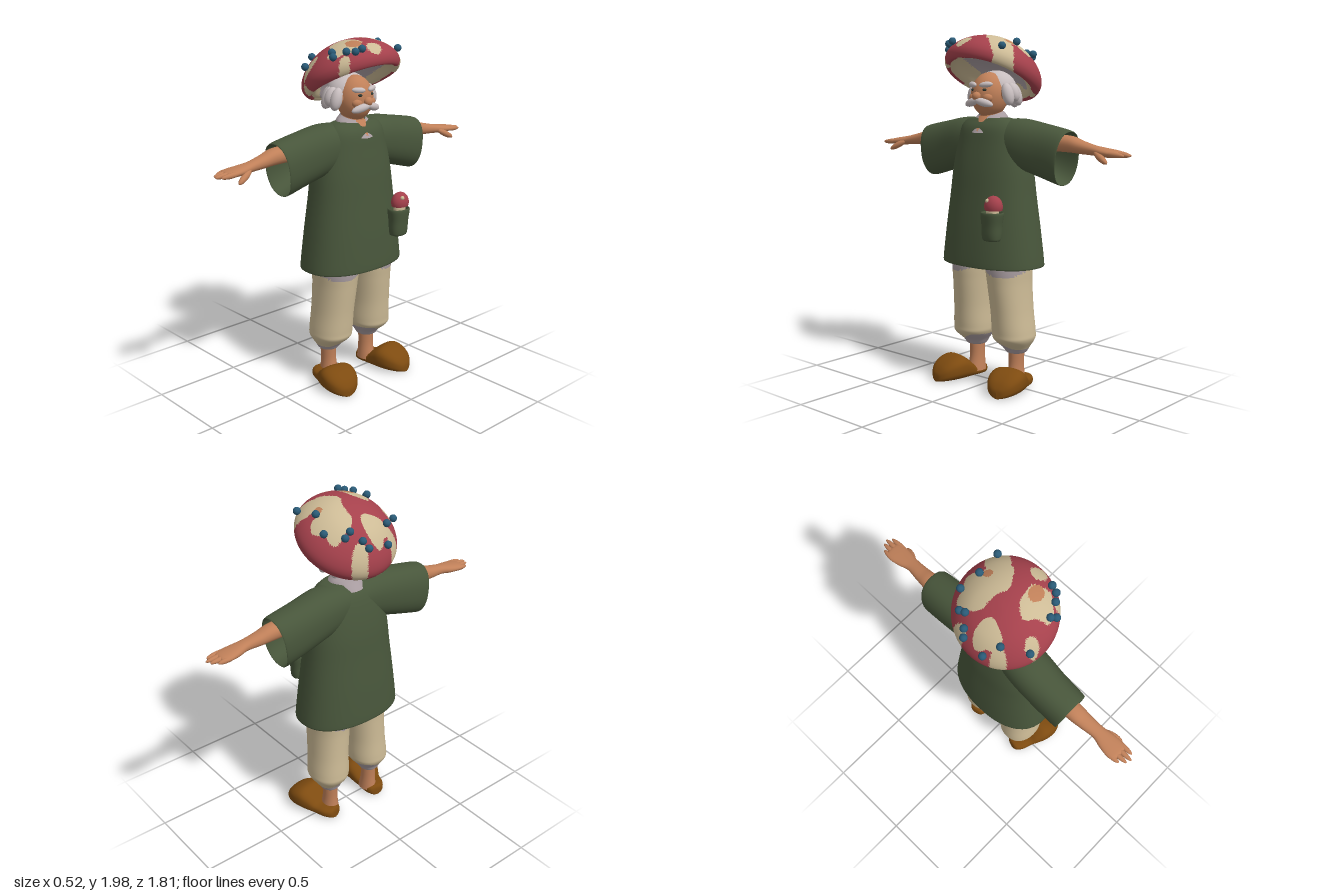
import * as THREE from 'three';

const mat = (name, color, side = THREE.FrontSide) => {
  const m = new THREE.MeshStandardMaterial({ color, side });
  m.name = name;
  return m;
};

// Smooth skin over rings [position, centreX, radiusX, centre2, radius2, tilt] along the y or z axis
function loft(axis, rings, power = 2, n = 40, sub = 5) {
  const size = rings[0].length, spline = new THREE.CubicInterpolant(rings.map((_, i) => i), rings.flat(), size);
  const pos = [], index = [], rows = (rings.length - 1) * sub;
  const bend = v => Math.sign(v) * Math.pow(Math.abs(v), 2 / power);
  for (let j = 0; j <= rows; j++) {
    const [p, c1, r1, c2, r2, tilt = 0] = [...spline.evaluate(j / sub)];
    for (let i = 0; i < n; i++) {
      const a = i / n * Math.PI * 2, u = c1 + r1 * bend(Math.cos(a)), v = c2 + r2 * bend(Math.sin(a));
      if (axis === 'y') pos.push(u, p, v); else pos.push(u, v, p + tilt * Math.sin(a));
      if (j === rows) continue;
      const A = j * n + i, B = j * n + (i + 1) % n, C = B + n, D = A + n;
      if (axis === 'y') index.push(A, D, B, C, B, D); else index.push(A, B, D, C, D, B);
    }
  }
  const g = new THREE.BufferGeometry();
  g.setAttribute('position', new THREE.Float32BufferAttribute(pos, 3));
  g.setIndex(index);
  g.computeVertexNormals();
  return g;
}

// Ellipsoid
const ball = (x, y, z, rx, ry = rx, rz = rx) =>
  new THREE.SphereGeometry(1, 24, 16).scale(rx, ry, rz).translate(x, y, z);

// Rounded spindle running between two points
function spindle(a, b, r) {
  const A = new THREE.Vector3(...a), B = new THREE.Vector3(...b), d = B.clone().sub(A);
  const q = new THREE.Quaternion().setFromUnitVectors(new THREE.Vector3(0, 1, 0), d.clone().normalize());
  const c = A.add(B).multiplyScalar(0.5);
  return new THREE.SphereGeometry(1, 16, 12).scale(r, d.length() / 2, r).applyQuaternion(q).translate(c.x, c.y, c.z);
}

// Copy on the other side of the body
function mirror(g) {
  const m = g.clone().scale(1, 1, -1), ix = m.index;
  for (let i = 0; i < ix.count; i += 3) {
    const t = ix.getX(i);
    ix.setX(i, ix.getX(i + 1));
    ix.setX(i + 1, t);
  }
  return m;
}

// Sort triangles into material groups by a rule on their centres
function paint(g, count, rule) {
  const bins = Array.from({ length: count }, () => []), p = g.attributes.position, ix = g.index.array;
  for (let i = 0; i < ix.length; i += 3) {
    const t = [ix[i], ix[i + 1], ix[i + 2]];
    const mid = f => (p[f](t[0]) + p[f](t[1]) + p[f](t[2])) / 3;
    bins[rule(mid('getX'), mid('getY'), mid('getZ'))].push(...t);
  }
  g.setIndex(bins.flat());
  let start = 0;
  bins.forEach((b, i) => { g.addGroup(start, b.length, i); start += b.length; });
  return g;
}

export function createModel() {
  const model = new THREE.Group();
  model.name = 'mushroomGnome';
  const green = mat('tunicGreen', 0x48563b, THREE.DoubleSide), red = mat('capRed', 0xa5414c);
  const cream = mat('cream', 0xcdbb96), lilac = mat('lilacGrey', 0xa99da1, THREE.DoubleSide);
  const white = mat('hairWhite', 0xc8bebf), skin = mat('skin', 0xc08059), brown = mat('clogBrown', 0x7e4b10);
  const blue = mat('berryBlue', 0x2a5a76), dark = mat('eyeDark', 0x2f3a34);

  const add = (name, g, m) => {
    const mesh = new THREE.Mesh(g, m);
    mesh.name = name;
    model.add(mesh);
    return mesh;
  };
  const pair = (name, g, m) => { add(name + 'Right', g, m); add(name + 'Left', mirror(g), m); };

  // Tunic: body and wide sleeves with a turned-in hem
  add('tunicBody', loft('y', [
    [0.74, 0, 0.2, 0, 0.305], [0.715, 0, 0.212, 0, 0.318], [0.9, 0, 0.2, 0, 0.295], [1.1, 0, 0.18, 0, 0.268],
    [1.25, 0, 0.165, 0, 0.25], [1.38, 0.003, 0.142, 0, 0.225], [1.47, 0.01, 0.118, 0, 0.2],
    [1.515, 0.015, 0.085, 0, 0.165], [1.53, 0.015, 0.065, 0, 0.11], [1.53, 0.015, 0, 0, 0]], 2.3, 64), green);
  pair('sleeve', loft('z', [
    [0.06, -0.01, 0.11, 1.405, 0.115, 0], [0.2, -0.018, 0.118, 1.39, 0.138, 0], [0.35, -0.025, 0.112, 1.357, 0.147, 0],
    [0.485, -0.025, 0.107, 1.326, 0.148, 0.02], [0.475, -0.025, 0.097, 1.326, 0.138, 0.02],
    [0.3, -0.025, 0.09, 1.37, 0.12, 0]], 2.3), green);

  // Neck and draped collar with an open V
  add('neck', loft('y', [[1.45, 0.02, 0.06, 0, 0.065], [1.62, 0.01, 0.06, 0, 0.065]]), skin);
  const collar = loft('y', [[1.49, 0.02, 0.122, 0, 0.108], [1.535, 0.02, 0.09, 0, 0.1], [1.565, 0.015, 0.07, 0, 0.07]], 2, 64, 8);
  const cp = collar.attributes.position;
  for (let i = 0; i < cp.count; i++) cp.setY(i, cp.getY(i) - 0.3 * Math.max(0, cp.getX(i)));
  collar.computeVertexNormals();
  add('collar', paint(collar, 2, (x, y, z) => x > 0.05 && Math.abs(z) < (y - 1.45) * 0.4 ? 1 : 0), [lilac, skin]);

  // Arms, fingers and thumbs
  pair('arm', loft('z', [
    [0.25, -0.03, 0.05, 1.405, 0.046], [0.5, -0.03, 0.05, 1.402, 0.045], [0.6, -0.026, 0.043, 1.387, 0.035],
    [0.68, -0.02, 0.038, 1.376, 0.027], [0.74, -0.022, 0.05, 1.368, 0.025], [0.8, -0.025, 0.056, 1.364, 0.02],
    [0.835, -0.025, 0.046, 1.362, 0.014], [0.845, -0.025, 0, 1.362, 0]], 2.2, 24), skin);
  [0.865, 0.895, 0.905, 0.885].forEach((tip, i) => {
    const x = -0.068 + i * 0.029;
    pair('finger' + (i + 1), spindle([x, 1.366, 0.76], [x * 0.9, 1.358, tip], 0.0145), skin);
  });
  pair('thumb', spindle([0.012, 1.37, 0.7], [0.045, 1.317, 0.8], 0.018), skin);

  // Trousers with pale band and gathered cuffs
  pair('trouserLeg', paint(loft('y', [
    [0.2, -0.03, 0.046, 0.152, 0.046], [0.205, -0.03, 0.06, 0.152, 0.056], [0.235, -0.025, 0.078, 0.152, 0.076],
    [0.285, -0.013, 0.122, 0.15, 0.11], [0.33, -0.01, 0.128, 0.147, 0.115], [0.45, -0.002, 0.13, 0.141, 0.11],
    [0.6, 0.007, 0.138, 0.132, 0.112], [0.72, 0.01, 0.145, 0.127, 0.118], [0.9, 0.01, 0.13, 0.12, 0.115],
    [0.92, 0.01, 0, 0.12, 0]], 2.2, 48, 8),
  2, (x, y, z) => y > 0.665 + 0.025 * Math.sin(x * 14 + z * 9) || y < 0.255 + 0.025 * Math.sin(z * 22) ? 1 : 0), [cream, lilac]);

  // Ankles and clogs turned slightly outward
  pair('ankle', loft('y', [[0.04, -0.025, 0.06, 0.15, 0.05], [0.13, -0.03, 0.047, 0.15, 0.042], [0.24, -0.03, 0.05, 0.152, 0.045]]), skin);
  const clog = [[-0.108, 0, 0], [-0.1, 0.04, 0.055], [-0.06, 0.065, 0.066], [0, 0.074, 0.072], [0.045, 0.09, 0.11],
    [0.1, 0.104, 0.14], [0.16, 0.1, 0.127], [0.21, 0.076, 0.095], [0.238, 0.04, 0.058], [0.246, 0, 0.03]];
  pair('clog', loft('z', clog.map(([t, w, h]) => [t, 0, w, h / 2 + 0.006, h / 2]), 2.7)
    .rotateY(Math.PI / 2 - 0.2).translate(0, 0, 0.185), brown);

  // Head and face
  add('head', ball(0.03, 1.655, 0, 0.105, 0.125, 0.103), skin);
  add('nose', ball(0.138, 1.648, 0, 0.024, 0.025, 0.026), skin);
  pair('cheek', ball(0.1, 1.64, 0.045, 0.03, 0.028, 0.035), skin);
  pair('ear', ball(0.03, 1.665, 0.108, 0.022, 0.035, 0.018), skin);
  pair('eye', ball(0.118, 1.683, 0.041, 0.012, 0.008, 0.013), dark);
  pair('eyebrow', spindle([0.13, 1.708, 0.012], [0.1, 1.715, 0.085], 0.016), white);
  pair('moustache', spindle([0.145, 1.63, -0.012], [0.115, 1.6, 0.098], 0.022), white);

  // Hair: back shell with a fringe of tufts
  add('hair', ball(-0.025, 1.685, 0, 0.108, 0.105, 0.122), white);
  for (let i = 0; i < 11; i++) {
    const a = Math.PI * (0.42 + 1.16 * i / 10), c = Math.cos(a), s = Math.sin(a);
    const low = 1.575 + 0.02 * (i % 2) + 0.025 * Math.abs(s);
    add('hairTuft' + (i + 1), spindle([c * 0.09, 1.72, s * 0.11], [-0.01 + c * 0.13, low, s * 0.15], 0.034), white);
  }

  // Mushroom cap: patched dome over pale gills
  const tilt = g => g.rotateZ(0.5).translate(-0.005, 1.79, 0);
  const curve = (pts, n) => new THREE.SplineCurve(pts.map(p => new THREE.Vector2(...p))).getPoints(n);
  const domeLine = curve([[0.235, -0.055], [0.255, -0.062], [0.273, -0.043], [0.28, -0.012], [0.27, 0.025],
    [0.24, 0.068], [0.19, 0.112], [0.13, 0.145], [0.06, 0.163], [0, 0.167]], 70);
  const patches = [[0.03, -0.1, 0.12, 0.085], [-0.09, -0.13, 0.06, 0.08], [0.13, -0.17, 0.07, 0.08], [-0.03, -0.19, 0.05, 0.05],
    [-0.17, 0.045, 0.06, 0.075], [0.09, 0.13, 0.09, 0.085], [-0.055, 0.235, 0.035, 0.035],
    [0.21, 0.03, 0.035, 0.05], [-0.205, 0.15, 0.04, 0.045], [-0.23, -0.1, 0.03, 0.05], [0.17, 0.2, 0.03, 0.03]];
  const within = (x, z, [cx, cz, rx, rz]) =>
    ((x - cx) / rx) ** 2 + ((z - cz) / rz) ** 2 < 1 + 0.2 * Math.sin(45 * x + 20 * z) + 0.15 * Math.sin(60 * z);
  const dome = paint(tilt(new THREE.LatheGeometry(domeLine, 128)), 3, (x, y, z) =>
    within(x, z, [0.115, 0.09, 0.05, 0.035]) || within(x, z, [0.04, -0.15, 0.025, 0.025]) ? 2
      : patches.some(p => within(x, z, p)) ? 1 : 0);
  const cap = add('mushroomCap', dome, [red, cream, skin]);
  const gillLine = curve([[0, 0.06], [0.1, 0.04], [0.17, -0.005], [0.215, -0.045], [0.237, -0.056]], 30);
  add('capGills', paint(tilt(new THREE.LatheGeometry(gillLine, 64)), 2,
    (x, y, z) => Math.hypot(x + 0.005, z) > 0.165 + 0.02 * Math.sin(z * 30) ? 1 : 0), [lilac, cream]);

  // Berries on short stalks standing on the dome
  const spots = [[-0.08, -0.21], [0.02, -0.18], [0.155, -0.195], [-0.16, -0.14], [-0.155, -0.105], [-0.205, -0.065],
    [-0.23, -0.045], [-0.23, 0.08], [-0.16, 0.13], [-0.08, 0.245], [0.09, 0.21], [0.115, 0.225], [0.16, 0.175],
    [0.205, 0.11], [0.195, 0.145]];
  const ray = new THREE.Raycaster(), down = new THREE.Vector3(0, -1, 0);
  cap.updateMatrixWorld();
  spots.forEach(([x, z], i) => {
    ray.set(new THREE.Vector3(x * 0.97, 3, z * 0.97), down);
    const hit = ray.intersectObject(cap)[0];
    if (!hit) return;
    const p = hit.point, q = p.clone().addScaledVector(hit.face.normal, 0.018);
    add('berryStalk' + (i + 1), spindle(p.toArray(), q.toArray(), 0.008), blue);
    add('berry' + (i + 1), new THREE.IcosahedronGeometry(0.021, 2).translate(q.x, q.y, q.z), blue);
  });

  // Pocket with a small mushroom tucked inside
  add('pocket', loft('y', [
    [0.875, 0.205, 0, -0.172, 0], [0.875, 0.208, 0.035, -0.172, 0.045], [0.9, 0.208, 0.045, -0.172, 0.055],
    [0.96, 0.208, 0.048, -0.173, 0.058], [1.02, 0.208, 0.053, -0.175, 0.066], [1.025, 0.208, 0.046, -0.175, 0.058],
    [0.96, 0.208, 0.04, -0.175, 0.05]], 2.4), green);
  add('pocketMushroomStem', ball(0.21, 1.03, -0.18, 0.03, 0.05, 0.038), cream);
  add('pocketMushroomCap', new THREE.SphereGeometry(1, 24, 12, 0, Math.PI * 2, 0, Math.PI * 0.62)
    .scale(0.045, 0.058, 0.055).translate(0.208, 1.063, -0.185), red);
  add('pocketMushroomSpot', ball(0.24, 1.095, -0.17, 0.012), cream);
  return model;
}
